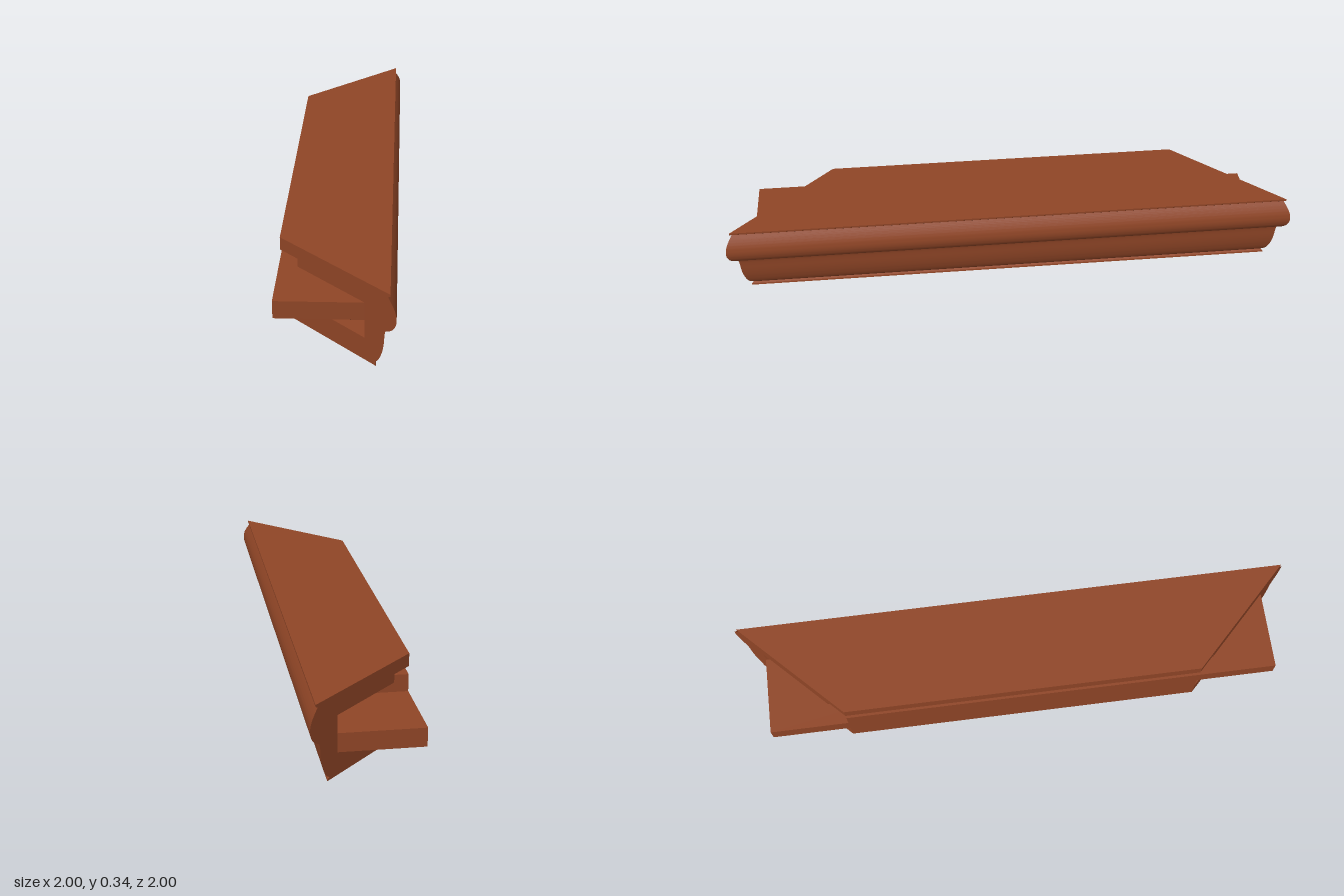
import * as THREE from 'three';
import { toCreasedNormals } from 'three/addons/utils/BufferGeometryUtils.js';

// A mitred length of moulding running diagonally; u = x - z is measured across it.
const C = 0.757;        // mitre planes: x = -C and z = C
const INNER = -0.41;    // inner edge
const TENON = 0.073;    // outer edge of the tenon boards
const Y1 = 0.095, Y2 = 0.173, Y3 = 0.246, LIP = 0.281, TOP = 0.335;
const R2 = Math.SQRT2;

export function createModel() {
  const group = new THREE.Group();
  const wood = new THREE.MeshStandardMaterial({ color: 0x8f4526 });
  wood.name = 'reddish brown wood';

  const add = (name, geometry) => {
    const mesh = new THREE.Mesh(geometry, wood);
    mesh.name = name;
    group.add(mesh);
    return mesh;
  };
  const v = (x, y) => new THREE.Vector2(x, y);

  // Outer moulding with the top board and its overhanging lip
  const profile = new THREE.Shape();
  profile.moveTo(TENON, 0);
  profile.lineTo(0.136, 0);
  profile.lineTo(0.134, 0.007);
  profile.lineTo(0.122, 0.011);
  profile.splineThru([v(0.146, 0.03), v(0.165, 0.065), v(0.176, 0.105), v(0.181, 0.15), v(0.184, 0.168)]);
  profile.lineTo(0.19, 0.174);
  profile.splineThru([v(0.215, 0.187), v(0.235, 0.21), v(0.243, 0.238), v(0.237, 0.268), v(0.22, 0.295), v(0.198, 0.32)]);
  profile.lineTo(0.21, 0.327);
  profile.lineTo(0.21, TOP);
  profile.lineTo(INNER, TOP);
  profile.lineTo(INNER, LIP);
  profile.lineTo(-0.305, LIP);
  profile.lineTo(-0.305, Y3);
  profile.lineTo(TENON, Y3);
  profile.closePath();
  const moulding = new THREE.ExtrudeGeometry(profile, { depth: 1, bevelEnabled: false, curveSegments: 4 });
  const p = moulding.attributes.position;
  // Shear the extrusion so both ends lie in the mitre planes
  for (let i = 0; i < p.count; i++) {
    const u = p.getX(i), end = p.getZ(i) > 0.5;
    p.setXYZ(i, end ? C + u : -C, p.getY(i), end ? C : -C - u);
  }
  add('moulding', toCreasedNormals(moulding, 0.6));

  // Bottom board with three peg slots; plan drawn as (x, -z)
  const plan = new THREE.Shape([
    v(-C, C + INNER), v(C + INNER, -C), v(C + TENON, -C), v(-C, C + TENON),
  ]);
  const at = (s, u) => v((s * R2 + u) / 2, -(s * R2 - u) / 2);
  for (const s of [-0.95, 0, 0.95]) {
    const a = s - 0.047, b = s + 0.047;
    plan.holes.push(new THREE.Path([at(a, -0.01), at(a, 0.068), at(b, 0.068), at(b, -0.01)]));
  }
  const board = new THREE.ExtrudeGeometry(plan, { depth: Y1, bevelEnabled: false });
  board.rotateX(-Math.PI / 2);
  add('bottomBoard', board);

  // Two staggered boards: each is a tenon at one end and leaves a socket at the other
  const long = (1 - INNER / 2) * R2 - 0.585 * R2 + 0.585 * R2; // reserved half reach base
  const reach = (2 + INNER) / R2;          // tenon end, along the diagonal
  const socket = (2 * C + INNER) / R2;     // socket end, along the diagonal
  const width = (TENON - INNER) / R2;
  const mid = (TENON + INNER) / 2;
  [['lowerTenonBoard', Y1, Y2, -1], ['upperTenonBoard', Y2, Y3, 1]].forEach(([name, y0, y1, dir]) => {
    const mesh = add(name, new THREE.BoxGeometry(reach + socket, y1 - y0, width));
    const s = dir * (reach - socket) / 2;
    mesh.position.set((s * R2 + mid) / 2, (y0 + y1) / 2, (s * R2 - mid) / 2);
    mesh.rotation.y = -Math.PI / 4;
  });

  return group;
}
